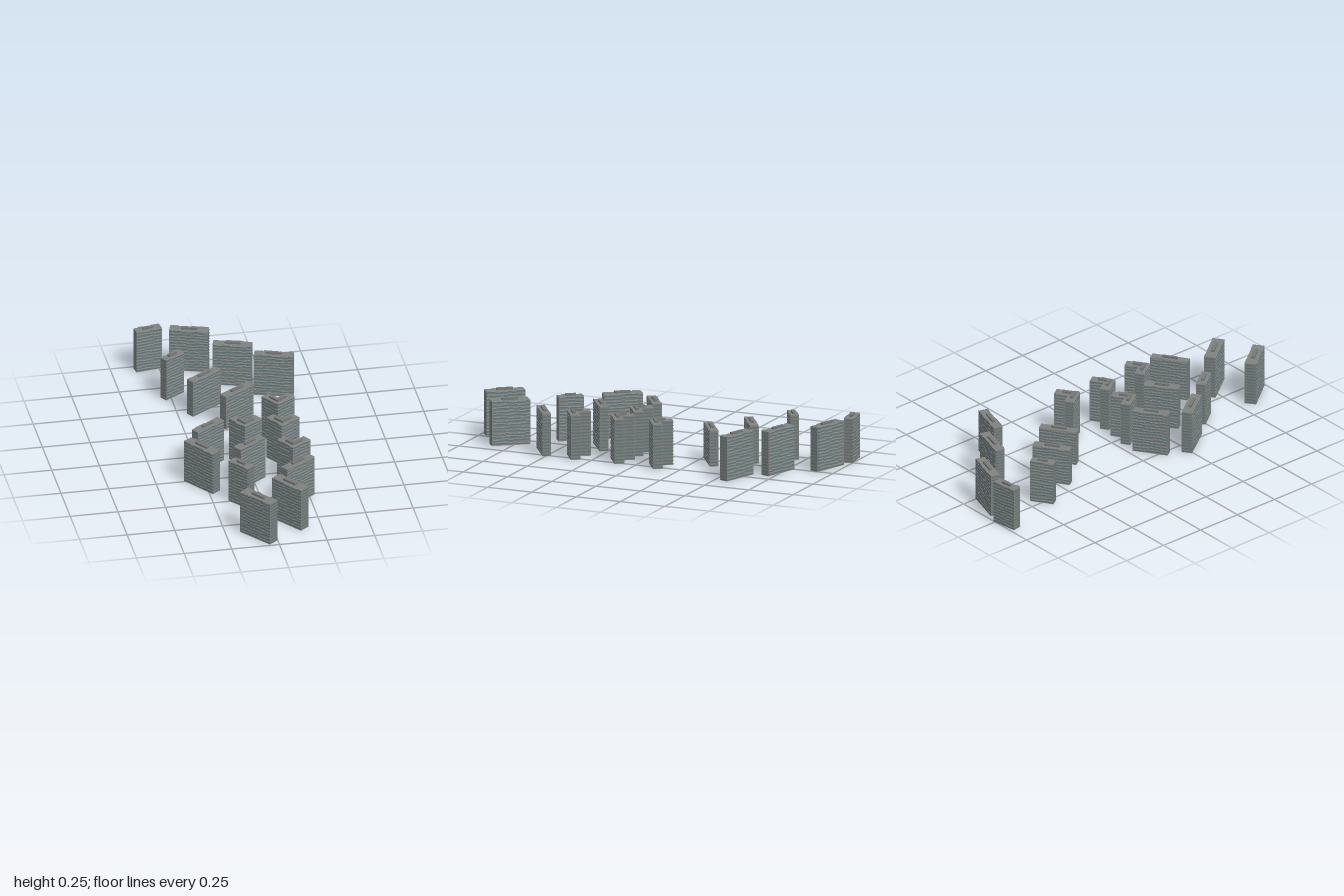
import * as THREE from 'three';
import { mergeGeometries } from 'three/addons/utils/BufferGeometryUtils.js';

const paint = (color) => new THREE.MeshStandardMaterial({ color });
const wallMat = paint(0x80827f), glassMat = paint(0x64777a), panelMat = paint(0x909795);
const roofMat = paint(0x757875), baseMat = paint(0xaaa9a7);

const FLOOR = 0.0168;

// Slab towers: x, z, length, width, turn in degrees, height
const SLABS = [
  [-0.307, -0.97, 0.14, 0.048, 8.7, 0.235],
  [-0.1, -0.923, 0.203, 0.05, -17.5, 0.235],
  [0.09, -0.73, 0.203, 0.05, -17, 0.235],
  [0.278, -0.582, 0.203, 0.048, -17.5, 0.235],
  [-0.238, -0.667, 0.126, 0.043, 33, 0.235],
  [-0.106, -0.492, 0.2, 0.045, 33.5, 0.203],
  [0.034, -0.328, 0.2, 0.045, 33.5, 0.19],
  [-0.2, 0.098, 0.188, 0.046, 34, 0.235],
  [-0.272, 0.31, 0.205, 0.055, -54.5, 0.235],
  [-0.024, 0.32, 0.185, 0.045, 35, 0.235],
  [-0.108, 0.53, 0.133, 0.05, -53, 0.235],
  [0.183, 0.55, 0.2, 0.044, 33.5, 0.224],
  [0.1, 0.778, 0.203, 0.06, -53.5, 0.235],
  [-0.087, 0.892, 0.205, 0.06, -52.5, 0.235],
];

// Corner towers: x, z of the outer corner
const CORNERS = [[0.193, -0.05], [-0.016, 0.153], [0.175, 0.175], [0.185, 0.418]];

function seeded(seed) {
  let s = seed * 7919 + 17;
  return () => (s = (s * 16807) % 2147483647) / 2147483647;
}

const rectangle = (l, w) => [[-l / 2, w / 2], [l / 2, w / 2], [l / 2, -w / 2], [-l / 2, -w / 2]];

// L-shaped footprint with its outer corner at (x, z)
const ell = (x, z, a, b, w) =>
  [[0, 0], [a, 0], [a, -w], [w, -w], [w, -b], [0, -b]].map(([u, v]) => [x + u, z + v]);

// Upright prism over an x, z footprint
function prism(points, y, height) {
  const shape = new THREE.Shape(points.map(([x, z]) => new THREE.Vector2(x, -z)));
  return new THREE.ExtrudeGeometry(shape, { depth: height, bevelEnabled: false })
    .rotateX(-Math.PI / 2).translate(0, y, 0);
}

// Window bands and spandrel panels along every wall of a footprint
function facade(points, height, random) {
  const glass = [], panels = [];
  points.forEach(([x0, z0], i) => {
    const [x1, z1] = points[(i + 1) % points.length];
    const length = Math.hypot(x1 - x0, z1 - z0);
    const turn = Math.atan2(z0 - z1, x1 - x0);
    const strip = (list, from, to, y, h) => {
      const t = (from + to) / 2 / length;
      list.push(new THREE.BoxGeometry(to - from, h, 0.0016).rotateY(turn)
        .translate(x0 + (x1 - x0) * t, y, z0 + (z1 - z0) * t));
    };
    const margin = 0.003;
    const cells = Math.max(1, Math.round((length - 2 * margin) / 0.0225));
    const cell = (length - 2 * margin) / cells;
    for (let y = FLOOR * 0.4; y < height - FLOOR * 0.5; y += FLOOR) {
      // Short end walls carry one unbroken band
      if (length < 0.07) {
        strip(glass, margin, length - margin, y, 0.0075);
        continue;
      }
      // Long walls step up and down in runs of bays
      let raised = random() < 0.5;
      for (let c = 0; c < cells;) {
        const run = Math.min(cells - c, 1 + Math.floor(random() * 4));
        const from = margin + c * cell, to = from + run * cell;
        const lift = raised ? 0.004 : 0;
        strip(glass, from, to, y + lift, 0.0072);
        strip(panels, from, to, y + lift + 0.0066, 0.0055);
        raised = !raised;
        c += run;
      }
    }
  });
  return { glass, panels };
}

function tower(name, footprint, roofFootprint, height, seed) {
  const group = new THREE.Group();
  group.name = name;
  const add = (part, geometry, material) => {
    const mesh = new THREE.Mesh(geometry, material);
    mesh.name = part;
    group.add(mesh);
  };
  add('baseSlab', prism(footprint, 0, 0.002), baseMat);
  add('walls', prism(footprint, 0.002, height - 0.002), wallMat);
  add('roofPlantRoom', prism(roofFootprint, height, 0.011), roofMat);
  const { glass, panels } = facade(footprint, height, seeded(seed));
  add('windowBands', mergeGeometries(glass), glassMat);
  add('facadePanels', mergeGeometries(panels), panelMat);
  return group;
}

export function createModel() {
  const model = new THREE.Group();
  model.name = 'towerEstate';

  SLABS.forEach(([x, z, l, w, deg, h], i) => {
    const slab = tower('slabTower' + (i + 1), rectangle(l, w), rectangle(l * 0.41, w * 0.32), h, i + 1);
    slab.position.set(x, 0, z);
    slab.rotation.y = THREE.MathUtils.degToRad(deg);
    model.add(slab);
  });

  CORNERS.forEach(([x, z], i) => {
    const corner = tower('cornerTower' + (i + 1), ell(0, 0, 0.124, 0.117, 0.05),
      ell(0.017, -0.017, 0.066, 0.06, 0.017), 0.235, 40 + i);
    corner.position.set(x, 0, z);
    corner.rotation.y = THREE.MathUtils.degToRad(33.5);
    model.add(corner);
  });
  return model;
}
